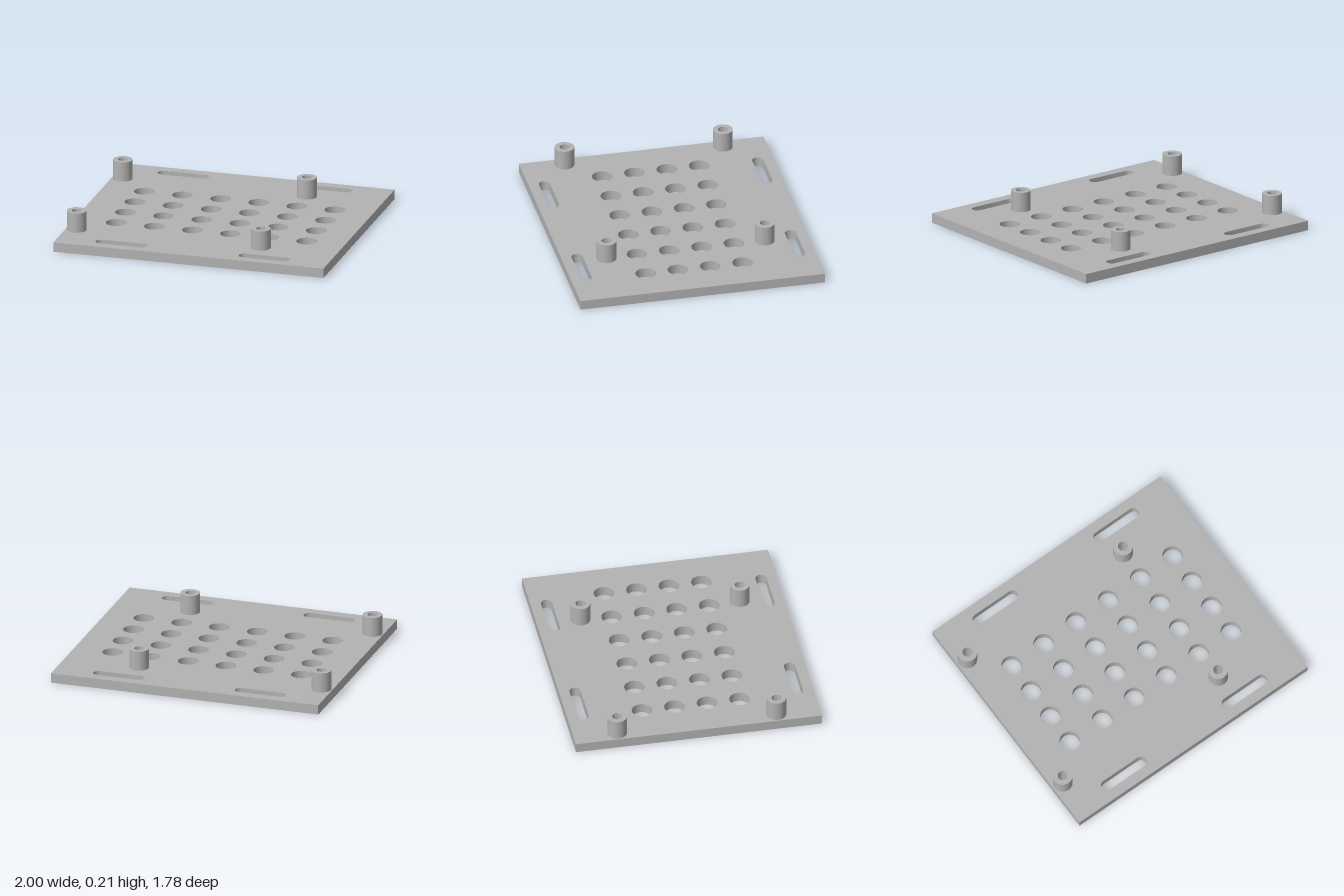
import * as THREE from 'three';
import { toCreasedNormals } from 'three/addons/utils/BufferGeometryUtils.js';

const HALF_X = 1, HALF_Z = 0.89, THICKNESS = 0.07, POST_TOP = 0.214;
const POST_RADIUS = 0.07, BORE_RADIUS = 0.035;

function circle(x, z, r, Type = THREE.Path) {
  const path = new Type();
  path.absarc(x, z, r, 0, Math.PI * 2, false);
  return path;
}

// Slot with round ends, lying along x
function slot(x, z, halfLength, r) {
  const path = new THREE.Path();
  const d = halfLength - r;
  path.absarc(x + d, z, r, -Math.PI / 2, Math.PI / 2, false);
  path.absarc(x - d, z, r, Math.PI / 2, Math.PI * 1.5, false);
  path.closePath();
  return path;
}

// Extrude a plan outline upwards, with smooth bores and sharp rims
function extrudeUp(shape, height) {
  const geometry = new THREE.ExtrudeGeometry(shape, {
    depth: height, bevelEnabled: false, curveSegments: 40,
  });
  geometry.rotateX(-Math.PI / 2);
  return toCreasedNormals(geometry, 0.6);
}

export function createModel() {
  const group = new THREE.Group();
  group.name = 'mountingPlate';
  const grey = new THREE.MeshStandardMaterial({ color: 0xb2b2b2 });
  grey.name = 'plain grey';

  const posts = [];
  for (const x of [-0.92, 0.444]) for (const z of [-0.576, 0.576]) posts.push([x, z]);

  // Base plate outline
  const outline = new THREE.Shape([
    new THREE.Vector2(-HALF_X, -HALF_Z), new THREE.Vector2(HALF_X, -HALF_Z),
    new THREE.Vector2(HALF_X, HALF_Z), new THREE.Vector2(-HALF_X, HALF_Z),
  ]);

  // Grid of ventilation holes
  for (let i = 0; i < 6; i++) {
    for (let j = 0; j < 4; j++) {
      outline.holes.push(circle(-0.695 + i * 0.2823, (j - 1.5) * 0.235, 0.073));
    }
  }

  // Mounting slots near the front and back edges
  for (const x of [-0.53, 0.53]) {
    for (const z of [-0.776, 0.776]) outline.holes.push(slot(x, z, 0.19, 0.04));
  }

  // Post bores continue through the plate
  for (const [x, z] of posts) outline.holes.push(circle(x, z, BORE_RADIUS));

  const plate = new THREE.Mesh(extrudeUp(outline, THICKNESS), grey);
  plate.name = 'basePlate';
  group.add(plate);

  // Hollow standoff posts
  const ring = circle(0, 0, POST_RADIUS, THREE.Shape);
  ring.holes.push(circle(0, 0, BORE_RADIUS));
  const postGeometry = extrudeUp(ring, POST_TOP - THICKNESS);
  for (const [x, z] of posts) {
    const post = new THREE.Mesh(postGeometry, grey);
    post.name = `${z > 0 ? 'front' : 'back'}${x > 0 ? 'Left' : 'Right'}Standoff`;
    post.position.set(x, THICKNESS, z);
    group.add(post);
  }
  return group;
}
